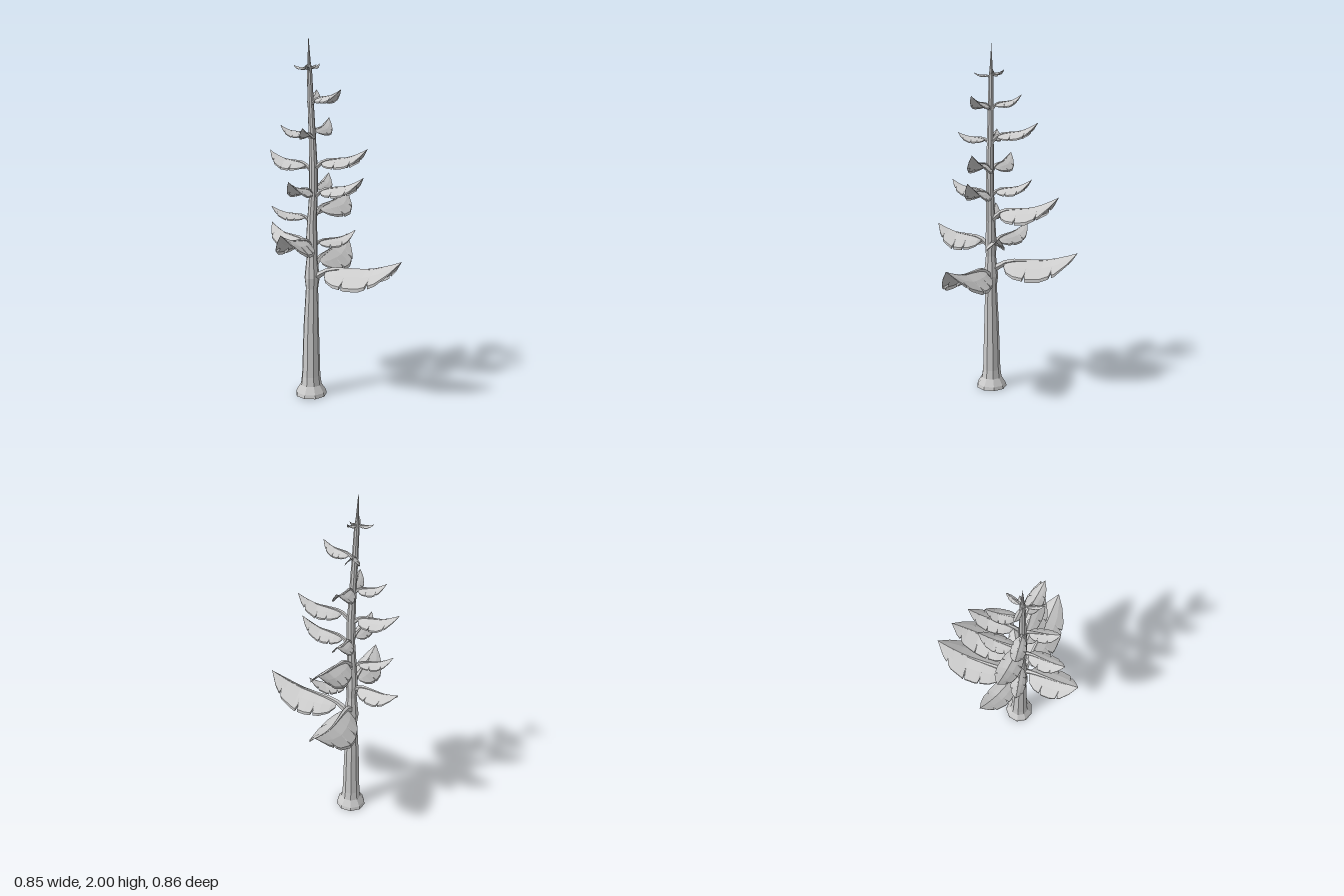
import * as THREE from 'three';

const material = new THREE.MeshStandardMaterial({ color: 0xcccccc, flatShading: true, side: THREE.DoubleSide });

// Trunk rings: height, radius, centre x
const RINGS = [
  [0, 0, -0.12], [0, 0.09, -0.12], [0.02, 0.085, -0.12], [0.06, 0.06, -0.12], [0.11, 0.053, -0.12],
  [0.4, 0.044, -0.118], [0.62, 0.035, -0.112], [0.68, 0.043, -0.111], [0.8, 0.03, -0.111], [0.87, 0.034, -0.112],
  [1.0, 0.027, -0.11], [1.15, 0.024, -0.1], [1.28, 0.024, -0.099], [1.45, 0.02, -0.105], [1.65, 0.017, -0.114],
  [1.82, 0.014, -0.12], [1.86, 0.009, -0.122], [2.0, 0, -0.125],
];
const TRUNK_Z = 0.085;

// Linear lookup in a list of [key, value] pairs
function lookup(table, key, column = 1) {
  for (let i = 1; i < table.length; i++) {
    const a = table[i - 1], b = table[i];
    if (key <= b[0] && b[0] > a[0]) return a[column] + (b[column] - a[column]) * (key - a[0]) / (b[0] - a[0]);
  }
  return table[table.length - 1][column];
}

function makeTrunk() {
  const geometry = new THREE.LatheGeometry(RINGS.map(([y, r]) => new THREE.Vector2(r, y)), 9);
  const p = geometry.attributes.position;
  for (let i = 0; i < p.count; i++) {
    p.setXYZ(i, p.getX(i) + lookup(RINGS, p.getY(i), 2), p.getY(i), p.getZ(i) + TRUNK_Z);
  }
  geometry.computeVertexNormals();
  const mesh = new THREE.Mesh(geometry, material);
  mesh.name = 'trunk';
  return mesh;
}

// Outline of a frond (position along the midrib, share of the half width)
const WIDTH = [[0.17, 0.25], [0.22, 0.6], [0.32, 0.85], [0.48, 1], [0.62, 1], [0.78, 0.83], [0.9, 0.47], [1, 0]];
// Half of the roof-shaped section: outward share, downward share
const SECTION = [[0, 0], [0.5, 0.34], [1, 0.82], [1, 1]];

// Drooping blade on one side of the midrib, with narrow cuts in its edge
function makeBlade(curve, across, halfWidth, sign, cuts) {
  const stations = WIDTH.map(([t]) => ({ t, reach: 1 }));
  for (const t of cuts) {
    stations.push({ t: t - 0.014, reach: 1 }, { t, reach: 0.76 }, { t: t + 0.014, reach: 1 });
  }
  stations.sort((a, b) => a.t - b.t);
  const positions = [], index = [], n = SECTION.length;
  stations.forEach(({ t, reach }, i) => {
    const mid = curve.getPoint(t), w = lookup(WIDTH, t) * halfWidth;
    SECTION.forEach(([out, down], j) => {
      const k = j > 1 ? reach : 1;
      const v = mid.clone().addScaledVector(across, sign * out * w * k);
      positions.push(v.x, v.y - down * w * 0.95 * k, v.z);
      if (i && j) {
        const d = i * n + j, c = d - 1, b = d - n, a = b - 1;
        if (sign > 0) index.push(a, b, c, b, d, c);
        else index.push(a, c, b, b, c, d);
      }
    });
  });
  const geometry = new THREE.BufferGeometry();
  geometry.setAttribute('position', new THREE.Float32BufferAttribute(positions, 3));
  geometry.setIndex(index);
  geometry.computeVertexNormals();
  const mesh = new THREE.Mesh(geometry, material);
  mesh.name = sign > 0 ? 'bladeA' : 'bladeB';
  return mesh;
}

// Tapered stalk that becomes the midrib below the blades
function makeRib(curve, radius) {
  const segments = 10, sides = 5;
  const geometry = new THREE.TubeGeometry(curve, segments, radius, sides);
  const p = geometry.attributes.position, v = new THREE.Vector3();
  for (let i = 0; i < p.count; i++) {
    const t = Math.floor(i / (sides + 1)) / segments;
    const c = curve.getPointAt(t);
    v.fromBufferAttribute(p, i).sub(c).multiplyScalar(Math.max(0.02, 1 - 1.5 * t + 0.5 * t * t)).add(c);
    p.setXYZ(i, v.x, v.y - radius * 0.5 * t * (1 - t), v.z);
  }
  geometry.computeVertexNormals();
  const mesh = new THREE.Mesh(geometry, material);
  mesh.name = 'midrib';
  return mesh;
}

function makeFrond([x, y, z, halfWidth, rise, bend = 0], number) {
  const rootY = y - rise;
  const root = new THREE.Vector3(lookup(RINGS, rootY, 2), rootY, TRUNK_Z);
  const tip = new THREE.Vector3(x, y, z);
  const along = new THREE.Vector3(x - root.x, 0, z - root.z).normalize();
  const across = new THREE.Vector3(along.z, 0, -along.x);
  // Midrib leaves the trunk steeply, flattens, then lifts at the tip
  const points = [[0, 1, 0], [0.2, 0.56, 0.4], [0.4, 0.46, 0.8], [0.65, 0.38, 1], [0.85, 0.19, 0.6], [1, 0, 0]]
    .map(([t, drop, side]) => {
      const v = root.clone().lerp(tip, t).addScaledVector(across, bend * side);
      v.y = y - rise * drop;
      return v;
    });
  const curve = new THREE.CatmullRomCurve3(points);
  // getPoint runs evenly over control points, so remap it to the outline's measure
  const knots = [[0, 0], [0.2, 0.2], [0.4, 0.4], [0.65, 0.6], [0.85, 0.8], [1, 1]];
  const measured = { getPoint: (t) => curve.getPoint(lookup(knots, t)) };

  const frond = new THREE.Group();
  frond.name = `frond${number}`;
  const shift = (number * 0.037) % 0.09;
  frond.add(
    makeRib(curve, 0.007 + halfWidth * 0.13),
    makeBlade(measured, across, halfWidth, 1, [0.36 + shift, 0.54 + shift, 0.8 + shift * 0.5]),
    makeBlade(measured, across, halfWidth, -1, [0.4 + shift * 0.6, 0.66 + shift]),
  );
  return frond;
}

// Tip x, y, z, half width, rise from the trunk, sideways bend
const FRONDS = [
  [0.425, 0.82, 0.13, 0.108, 0.15], [-0.11, 0.85, -0.43, 0.112, 0.14, 0.012],
  [-0.425, 0.96, -0.04, 0.065, 0.12, 0.01], [-0.13, 0.97, 0.425, 0.088, 0.12],
  [0.1, 0.945, -0.04, 0.05, 0.1], [-0.335, 1.08, 0.135, 0.04, 0.09],
  [-0.085, 1.16, -0.325, 0.088, 0.16, -0.025], [0.2, 1.25, 0.1, 0.058, 0.13],
  [-0.13, 1.235, 0.33, 0.052, 0.1], [-0.115, 1.25, -0.16, 0.05, 0.11],
  [0.21, 1.4, 0.07, 0.06, 0.12], [-0.38, 1.385, 0.055, 0.058, 0.12],
  [-0.285, 1.525, 0.11, 0.038, 0.08], [-0.125, 1.565, -0.19, 0.05, 0.12],
  [-0.075, 1.51, 0.27, 0.037, 0.06], [0.08, 1.71, 0.125, 0.04, 0.08],
  [-0.155, 1.72, -0.085, 0.037, 0.09],
  [-0.215, 1.845, 0.08, 0.014, 0.03], [-0.09, 1.85, 0.06, 0.012, 0.03],
  [-0.095, 1.84, 0.18, 0.012, 0.03], [-0.1, 1.855, 0.0, 0.014, 0.04],
];

export function createModel() {
  const model = new THREE.Group();
  model.name = 'tree';
  model.add(makeTrunk());
  FRONDS.forEach((frond, i) => model.add(makeFrond(frond, i + 1)));
  return model;
}
